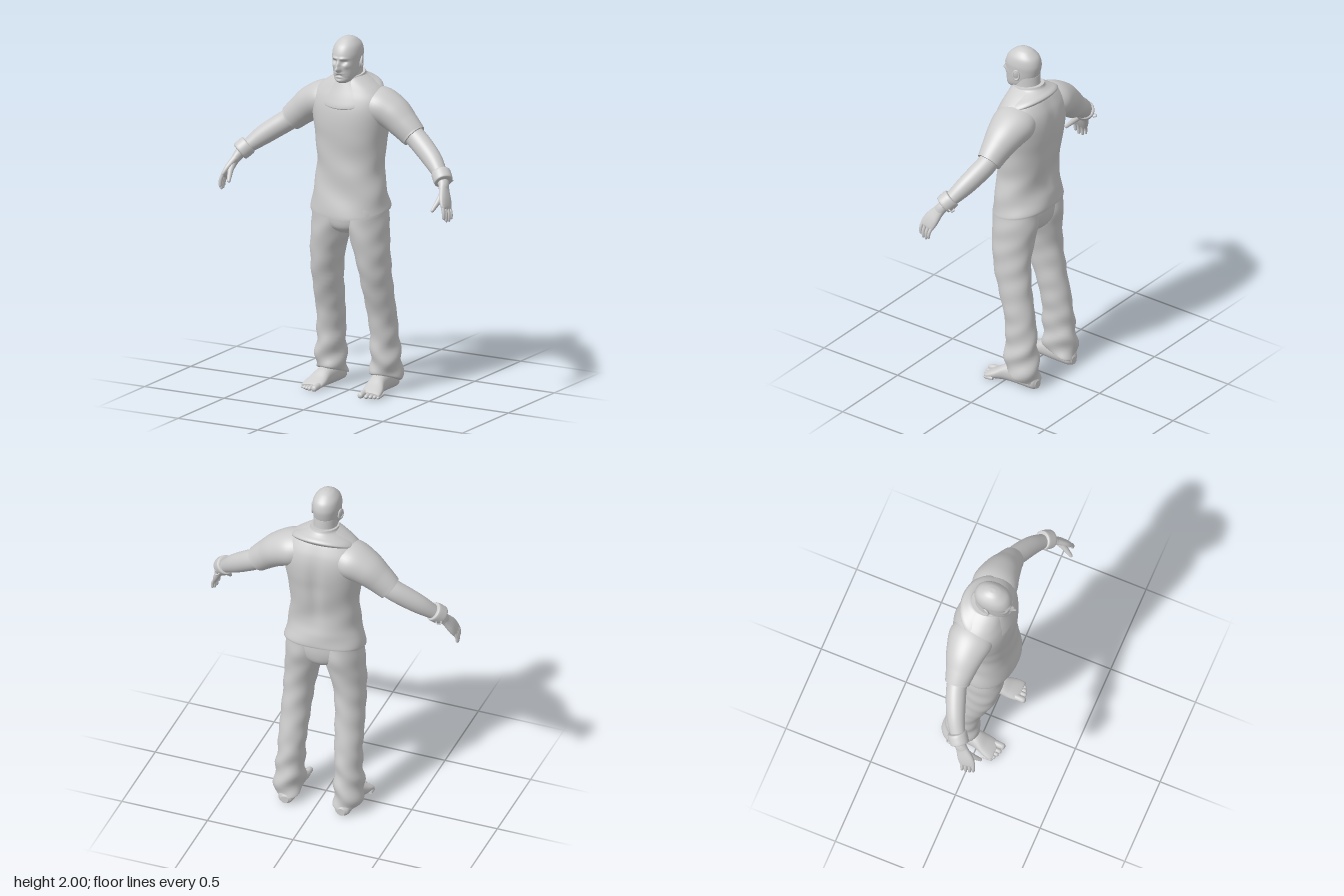
import * as THREE from 'three';

const Y = new THREE.Vector3(0, 1, 0), Z = new THREE.Vector3(0, 0, 1);

// Smooth skin over elliptical sections. Row: [x, y, z, halfWidth, halfDepth, tilt]
function loft(rows, { seg = 40, steps = 6, axis, ref = Z, power = 2, warp } = {}) {
  const curve = pts => new THREE.CatmullRomCurve3(pts, false, 'catmullrom', 0.5);
  const path = curve(rows.map(r => new THREE.Vector3(r[0], r[1], r[2])));
  const size = curve(rows.map(r => new THREE.Vector3(r[3], r[4], r[5] || 0)));
  const n = (rows.length - 1) * steps, pos = [], idx = [];
  const bend = c => Math.sign(c) * Math.abs(c) ** (2 / power);
  const put = p => pos.push(p.x, p.y, p.z);
  for (let i = 0; i <= n; i++) {
    const c = path.getPoint(i / n), s = size.getPoint(i / n);
    const t = axis || path.getTangent(i / n);
    const u = ref.clone().addScaledVector(t, -ref.dot(t)).normalize();
    const v = t.clone().cross(u);
    for (let j = 0; j < seg; j++) {
      const q = j / seg * Math.PI * 2;
      const p = c.clone().addScaledVector(u, bend(Math.cos(q)) * s.y).addScaledVector(v, bend(Math.sin(q)) * s.x);
      p.y += s.z * (p.z - c.z);
      if (warp) warp(p);
      put(p);
      if (i < n) {
        const a = i * seg + j, b = i * seg + (j + 1) % seg;
        idx.push(a, b, b + seg, a, b + seg, a + seg);
      }
    }
  }
  // End caps with their own vertices, so the rims stay crisp
  for (const end of [0, n]) {
    const base = pos.length / 3, mid = new THREE.Vector3();
    for (let j = 0; j < seg; j++) {
      const p = new THREE.Vector3().fromArray(pos, (end * seg + j) * 3);
      mid.addScaledVector(p, 1 / seg);
      put(p);
    }
    put(mid);
    for (let j = 0; j < seg; j++) {
      const a = base + j, b = base + (j + 1) % seg;
      if (end) idx.push(a, b, base + seg); else idx.push(b, a, base + seg);
    }
  }
  const g = new THREE.BufferGeometry();
  g.setAttribute('position', new THREE.Float32BufferAttribute(pos, 3));
  g.setIndex(idx);
  g.computeVertexNormals();
  return g;
}

function mirrored(g) {
  const m = g.clone().scale(-1, 1, 1), ix = m.index.array;
  for (let i = 0; i < ix.length; i += 3) [ix[i], ix[i + 1]] = [ix[i + 1], ix[i]];
  m.computeVertexNormals();
  return m;
}

// Level section: [y, halfWidth, frontZ, backZ, tilt, centreX]
const level = ([y, a, f, b, tilt = 0, x = 0]) => [x, y, (f + b) / 2, a, (f - b) / 2, tilt];
const bump = (x, y, cx, cy, sx, sy) => Math.exp(-(((x - cx) / sx) ** 2) - ((y - cy) / sy) ** 2);

export function createModel() {
  const group = new THREE.Group();
  const grey = new THREE.MeshStandardMaterial({ color: 0xcccccc });
  grey.name = 'light grey';
  const add = (name, g) => {
    const m = new THREE.Mesh(g, grey);
    m.name = name;
    group.add(m);
  };
  const pair = (name, g) => {
    add(name + 'Left', g);
    add(name + 'Right', mirrored(g));
  };

  // Head, with the face shaped by soft bumps and hollows
  const face = p => {
    if (p.z < 0.05) return;
    const x = Math.abs(p.x), y = p.y;
    p.z += 0.03 * bump(x, y, 0, 1.832, 0.013, 0.014) + 0.02 * bump(x, y, 0, 1.857, 0.01, 0.02)
      + 0.008 * bump(x, y, 0.025, 1.893, 0.022, 0.008)
      - 0.014 * bump(x, y, 0.029, 1.874, 0.015, 0.011)
      + 0.006 * bump(x, y, 0.042, 1.85, 0.015, 0.014)
      + 0.007 * bump(x, y, 0, 1.809, 0.022, 0.006)
      - 0.006 * bump(x, y + x * 0.35, 0, 1.799, 0.028, 0.004)
      + 0.006 * bump(x, y, 0, 1.789, 0.02, 0.006) + 0.006 * bump(x, y, 0, 1.767, 0.022, 0.01);
  };
  add('head', loft([
    [1.752, 0.028, 0.1, 0.03], [1.765, 0.046, 0.114, 0], [1.79, 0.061, 0.117, -0.045],
    [1.83, 0.069, 0.119, -0.072], [1.875, 0.074, 0.121, -0.086], [1.915, 0.076, 0.119, -0.09],
    [1.955, 0.067, 0.1, -0.077], [1.985, 0.043, 0.064, -0.042], [1.998, 0.018, 0.034, -0.01],
    [2, 0.002, 0.014, 0.01],
  ].map(level), { axis: Y, seg: 120, steps: 12, power: 2.15, warp: face }));
  add('neck', loft([[1.68, 0.085, 0.07, -0.11], [1.76, 0.068, 0.068, -0.09], [1.85, 0.064, 0.06, -0.082]].map(level), { axis: Y }));
  const ear = new THREE.SphereGeometry(1, 20, 14).scale(0.009, 0.032, 0.019);
  ear.rotateZ(-0.2).rotateY(0.35).translate(0.079, 1.86, 0.008);
  pair('ear', ear);
  const lobe = new THREE.TorusGeometry(0.017, 0.005, 8, 20).scale(1, 1.6, 1).rotateY(Math.PI / 2 + 0.35).translate(0.083, 1.862, 0.006);
  pair('earRim', lobe);

  // Shirt body, sleeves and draped collar
  const cloth = p => {
    const low = Math.max(0, 1.5 - p.y);
    p.z += 0.005 * Math.sin(p.y * 26 + p.x * 14) * Math.min(1, low * 4);
    p.x += 0.004 * Math.sin(p.y * 34 + p.z * 18) * Math.min(1, low * 4);
    if (p.z < 0) p.z += 0.018 * bump(p.x, p.y, 0, 1.45, 0.035, 0.2);
  };
  add('shirt', loft([
    [1.03, 0.226, 0.155, -0.18, -0.2], [1.05, 0.226, 0.153, -0.18, -0.18], [1.12, 0.212, 0.142, -0.168, -0.1],
    [1.2, 0.2, 0.132, -0.157], [1.3, 0.192, 0.127, -0.162], [1.42, 0.203, 0.132, -0.178],
    [1.52, 0.22, 0.135, -0.19], [1.6, 0.232, 0.128, -0.19], [1.66, 0.225, 0.112, -0.178],
    [1.71, 0.185, 0.092, -0.155], [1.75, 0.13, 0.076, -0.13], [1.78, 0.08, 0.06, -0.105],
  ].map(level), { axis: Y, seg: 72, power: 2.2, warp: cloth }));
  add('drapedCollar', loft([
    [1.665, 0.165, 0.1, -0.14, -0.5], [1.678, 0.187, 0.128, -0.158, -0.48], [1.69, 0.188, 0.131, -0.16, -0.46],
    [1.715, 0.168, 0.118, -0.15, -0.38], [1.745, 0.125, 0.098, -0.132, -0.26],
    [1.772, 0.085, 0.082, -0.115, -0.16], [1.79, 0.076, 0.074, -0.108, -0.14],
  ].map(level), { axis: Y, seg: 64 }));
  pair('sleeve', loft([
    [0.06, 1.65, -0.045, 0.07, 0.09], [0.16, 1.622, -0.045, 0.1, 0.125], [0.25, 1.583, -0.045, 0.095, 0.108],
    [0.32, 1.53, -0.04, 0.083, 0.086], [0.37, 1.487, -0.037, 0.075, 0.072], [0.387, 1.473, -0.035, 0.071, 0.069],
  ]));

  // Bare arms, cuffs and cuff rings
  pair('arm', loft([
    [0.33, 1.515, -0.04, 0.055, 0.055], [0.4, 1.465, -0.033, 0.059, 0.056], [0.47, 1.417, -0.01, 0.058, 0.055],
    [0.54, 1.365, 0.02, 0.053, 0.05], [0.6, 1.312, 0.055, 0.04, 0.041], [0.64, 1.27, 0.085, 0.03, 0.033],
    [0.655, 1.24, 0.105, 0.024, 0.034],
  ]));
  const cuffAt = (k, r) => [0.603 + 0.04 * k, 1.318 - 0.042 * k, 0.052 + 0.034 * k, r, r];
  pair('cuff', loft([cuffAt(0, 0.044), cuffAt(0.08, 0.053), cuffAt(0.5, 0.054), cuffAt(0.92, 0.052), cuffAt(1, 0.042)], { steps: 4 }));
  pair('cuffRing', new THREE.TorusGeometry(0.014, 0.004, 8, 20).rotateX(1.2).translate(0.648, 1.272, 0.024));

  // Hands
  pair('palm', loft([
    [0.645, 1.262, 0.088, 0.023, 0.028], [0.66, 1.232, 0.11, 0.021, 0.036], [0.68, 1.19, 0.135, 0.02, 0.046],
    [0.695, 1.155, 0.152, 0.015, 0.045], [0.698, 1.143, 0.157, 0.008, 0.038],
  ], { power: 2.4 }));
  [[-0.034, 0.062, 0.009], [-0.012, 0.08, 0.0105], [0.012, 0.088, 0.0105], [0.034, 0.08, 0.0105]].forEach(([k, len, r], i) => {
    const x = 0.694 - k * 0.17, y = 1.162 + k * 0.37, z = 0.15 + k * 0.91;
    pair('finger' + (i + 1), loft([
      [x, y, z, r, r], [x + 0.013, y - len * 0.5, z + 0.008, r, r], [x + 0.015, y - len * 0.93, z + 0.009, r * 0.8, r * 0.8],
      [x + 0.014, y - len, z + 0.009, r * 0.3, r * 0.3],
    ], { seg: 14, steps: 4 }));
  });
  pair('thumb', loft([
    [0.658, 1.235, 0.115, 0.017, 0.018], [0.655, 1.19, 0.16, 0.016, 0.016], [0.645, 1.155, 0.193, 0.012, 0.012],
    [0.64, 1.138, 0.208, 0.009, 0.009], [0.639, 1.133, 0.212, 0.003, 0.003],
  ], { seg: 16, steps: 4 }));

  // Trousers: hips and loose legs that crease toward the hem
  add('hips', loft([[0.905, 0.06, 0.08, -0.1], [0.94, 0.15, 0.112, -0.135], [1, 0.2, 0.122, -0.15], [1.08, 0.195, 0.12, -0.15]].map(level), { axis: Y }));
  const creases = p => {
    const k = 0.002 + 0.006 * Math.max(0, 1 - p.y / 0.45);
    p.x += k * Math.sin(p.y * 48 + p.z * 22);
    p.z += k * Math.sin(p.y * 40 + p.x * 30);
  };
  pair('trouserLeg', loft([
    [0.07, 0.076, -0.01, -0.203, 0.34, 0.173], [0.085, 0.082, -0.002, -0.207, 0.33, 0.173],
    [0.17, 0.082, 0, -0.2, 0.1, 0.173], [0.28, 0.075, 0, -0.187, 0, 0.168],
    [0.4, 0.077, 0.007, -0.172, 0, 0.163], [0.5, 0.08, 0.033, -0.152, 0, 0.159],
    [0.65, 0.083, 0.08, -0.132, 0, 0.152], [0.78, 0.092, 0.106, -0.126, 0, 0.14],
    [0.88, 0.104, 0.118, -0.136, 0, 0.122], [0.97, 0.108, 0.123, -0.15, 0, 0.112],
    [1.06, 0.1, 0.118, -0.148, 0, 0.11],
  ].map(level), { axis: Y, seg: 48, warp: creases }));

  // Bare feet with toes
  pair('foot', loft([
    [0.165, 0.032, -0.205, 0.022, 0.022], [0.165, 0.045, -0.18, 0.045, 0.042], [0.165, 0.058, -0.09, 0.05, 0.056],
    [0.17, 0.053, -0.01, 0.05, 0.051], [0.18, 0.034, 0.05, 0.06, 0.032], [0.186, 0.022, 0.09, 0.06, 0.02],
    [0.188, 0.018, 0.105, 0.052, 0.014],
  ], { axis: Z, ref: Y, power: 2.2 }));
  [[0.146, 0.145, 0.018], [0.178, 0.137, 0.013], [0.2, 0.129, 0.012], [0.22, 0.119, 0.011], [0.238, 0.108, 0.01]].forEach(([x, z, r], i) => {
    pair('toe' + (i + 1), loft([
      [x, r + 0.006, z - 0.06, r, r], [x, r + 0.002, z - 0.025, r, r], [x, r, z - 0.006, r * 0.85, r * 0.8], [x, r * 0.9, z, r * 0.3, r * 0.3],
    ], { axis: Z, ref: Y, seg: 16, steps: 4 }));
  });
  return group;
}
